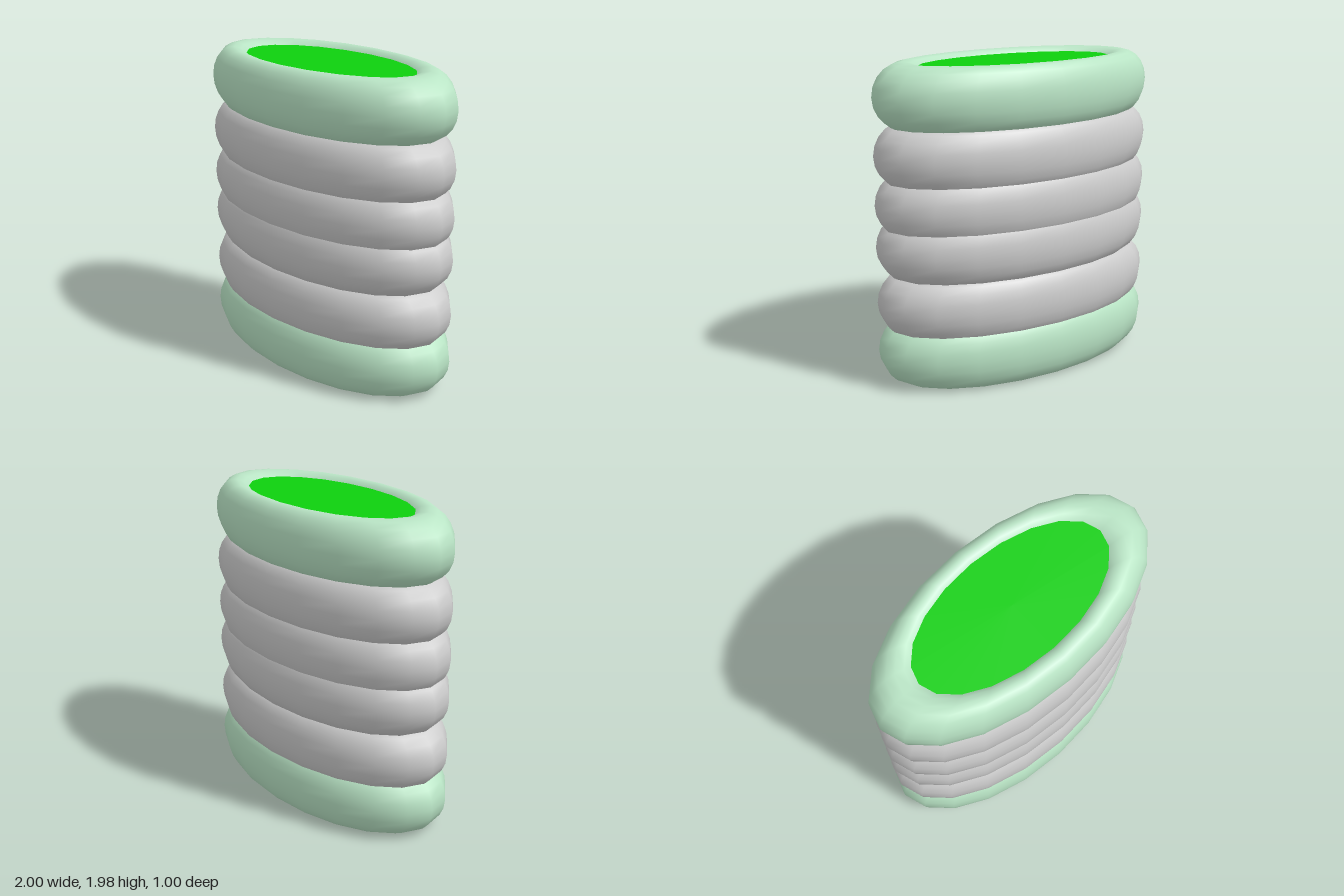
import * as THREE from 'three';

export function createModel() {
  const model = new THREE.Group();
  const grey = new THREE.MeshStandardMaterial({ color: 0xcccccc });
  const paleGreen = new THREE.MeshStandardMaterial({ color: 0xb9e4c5 });
  const green = new THREE.MeshStandardMaterial({ color: 0x0dd00d });

  // Everything is circular in plan, then squashed to half depth
  const depth = 0.5;

  // Stacked oval rings, from bottom to top
  const ringGeometry = new THREE.TorusGeometry(0.8, 0.2, 20, 20);
  ringGeometry.rotateX(-Math.PI / 2);
  ringGeometry.scale(1, 1, depth);
  const heights = [0.205, 0.51, 0.862, 1.125, 1.427, 1.782];
  heights.forEach((y, i) => {
    const isEnd = i === 0 || i === heights.length - 1;
    const ring = new THREE.Mesh(ringGeometry, isEnd ? paleGreen : grey);
    ring.name = i === 0 ? 'bottomRing' : isEnd ? 'topRing' : `middleRing${i}`;
    ring.position.y = y;
    model.add(ring);
  });

  // Solid core whose ends close the openings of the end rings
  const bottom = 0.067, top = 1.95;
  const coreGeometry = new THREE.CylinderGeometry(0.76, 0.76, top - bottom, 20);
  coreGeometry.rotateY(Math.PI / 2);
  coreGeometry.scale(1, 1, depth);
  const core = new THREE.Mesh(coreGeometry, green);
  core.name = 'core';
  core.position.y = (top + bottom) / 2;
  model.add(core);

  return model;
}
